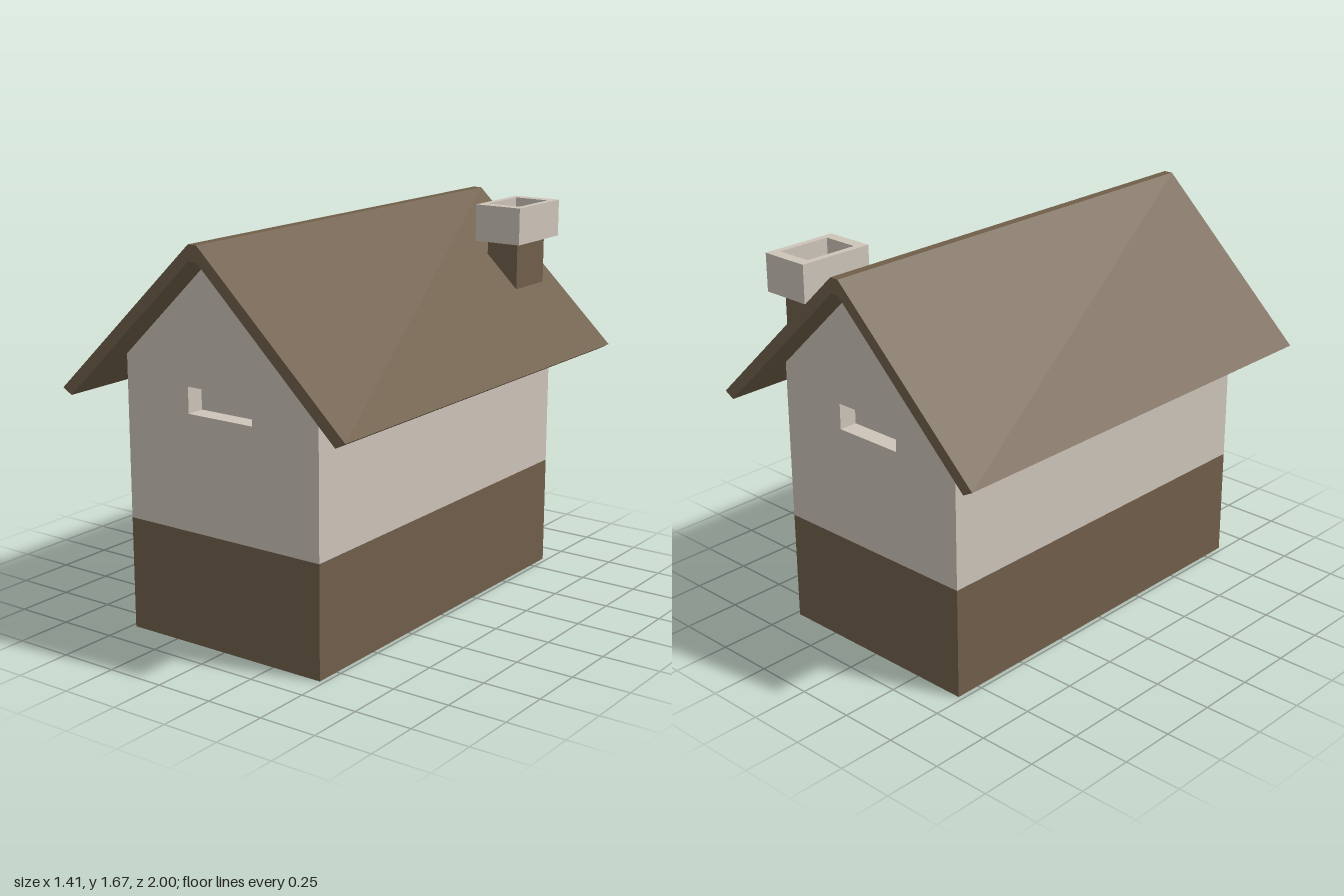
import * as THREE from 'three';

const brown = new THREE.MeshStandardMaterial({ name: 'brown', color: 0x6f5e49 });
const cream = new THREE.MeshStandardMaterial({ name: 'cream', color: 0xcdc4b9 });

const toPath = (points, PathType = THREE.Shape) =>
  new PathType(points.map(([x, y]) => new THREE.Vector2(x, y)));

const rect = (x0, x1, y0, y1) => [[x0, y0], [x1, y0], [x1, y1], [x0, y1]];

// Extrudes an outline in x/y from z0 to z1, with an optional hole
function prism(name, material, outline, z0, z1, hole) {
  const shape = toPath(outline);
  if (hole) shape.holes.push(toPath([...hole].reverse(), THREE.Path));
  const geometry = new THREE.ExtrudeGeometry(shape, { depth: z1 - z0, bevelEnabled: false });
  geometry.translate(0, 0, z0);
  const mesh = new THREE.Mesh(geometry, material);
  mesh.name = name;
  return mesh;
}

export function createModel() {
  const house = new THREE.Group();
  house.name = 'house';

  // Walls: brown base, cream gabled upper storey
  const halfLength = 0.86, recess = 0.08, inner = halfLength - recess;
  house.add(prism('base', brown, rect(-0.48, 0.48, 0, 0.48), -halfLength, halfLength));
  const gable = [[-0.48, 0.48], [0.48, 0.48], [0.48, 1.17], [0.02, 1.61], [-0.02, 1.61], [-0.48, 1.17]];
  house.add(prism('upperWalls', cream, gable, -inner, inner));

  // End walls with a recessed slot
  const slot = rect(-0.16, 0.16, 0.97, 1.08);
  house.add(prism('frontGable', cream, gable, inner, halfLength, slot));
  house.add(prism('backGable', cream, gable, -halfLength, -inner, slot));

  // Roof: one folded slab overhanging all sides
  const roof = [
    [0.66, 1.0], [0.705, 1.025], [0.02, 1.675], [-0.02, 1.675],
    [-0.705, 1.025], [-0.66, 1.0], [-0.02, 1.61], [0.02, 1.61],
  ];
  house.add(prism('roof', brown, roof, -1, 1));

  // Chimney: stack cut to the roof slope, cap with a hollow top
  const chimney = new THREE.Group();
  chimney.name = 'chimney';
  const stack = [[0.27, 1.437], [0.42, 1.295], [0.42, 1.5], [0.27, 1.5]];
  chimney.add(prism('chimneyStack', brown, stack, -0.89, -0.66));
  chimney.add(prism('chimneyCapFloor', cream, rect(0.24, 0.46, 1.5, 1.59), -0.945, -0.605));
  const rim = prism('chimneyCapRim', cream, rect(0.24, 0.46, 0.605, 0.945), 1.59, 1.66,
    rect(0.27, 0.43, 0.655, 0.895));
  rim.rotation.x = -Math.PI / 2;
  chimney.add(rim);
  house.add(chimney);

  return house;
}
